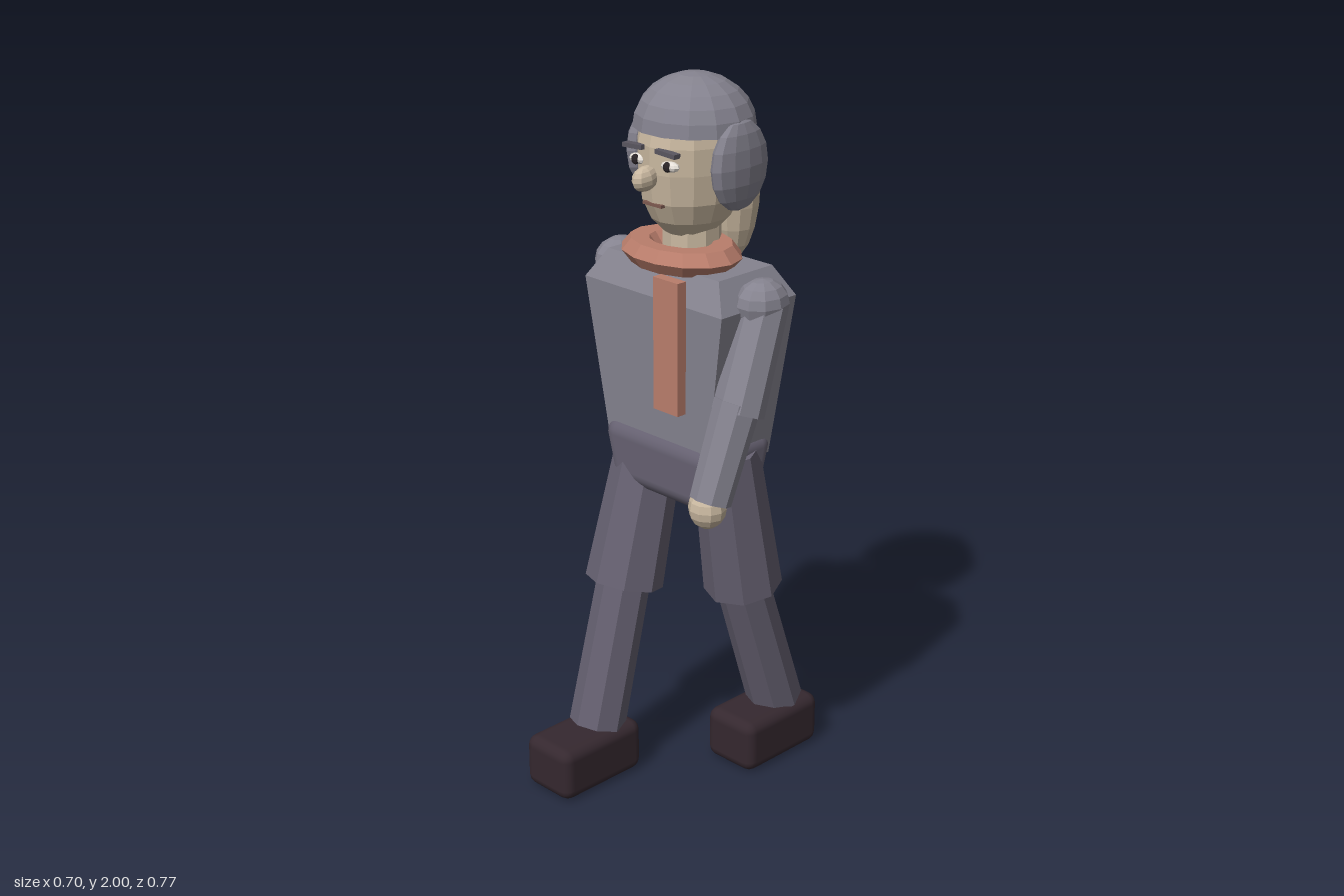
import * as THREE from 'three';
import { RoundedBoxGeometry } from 'three/addons/geometries/RoundedBoxGeometry.js';

export function createModel() {
  const model = new THREE.Group();
  model.name = 'walkingFigure';

  const mat = (name, color) => Object.assign(new THREE.MeshStandardMaterial({ color }), { name });
  const coat = mat('greyCoat', 0x85838f);
  const trousers = mat('darkTrousers', 0x656070);
  const leather = mat('shoeLeather', 0x35282f);
  const skin = mat('skin', 0xc9b8a0);
  const wool = mat('scarfWool', 0xb97d6b);
  const hairGrey = mat('greyHair', 0x84828e);
  const white = mat('eyeWhite', 0xe6e0d8);
  const dark = mat('pupilDark', 0x2a2427);
  const browGrey = mat('browGrey', 0x5a5660);
  const lip = mat('mouthBrown', 0x7d5a50);
  hairGrey.side = THREE.DoubleSide;

  // Splits the faces so that every facet is flat
  const facet = (geo) => {
    const g = geo.index ? geo.toNonIndexed() : geo;
    g.computeVertexNormals();
    return g;
  };
  const add = (name, geo, material, x = 0, y = 0, z = 0, parent = model) => {
    const mesh = new THREE.Mesh(geo, material);
    mesh.name = name;
    mesh.position.set(x, y, z);
    parent.add(mesh);
    return mesh;
  };
  const ball = (rx, ry, rz, w = 12, h = 8) => facet(new THREE.SphereGeometry(1, w, h).scale(rx, ry, rz));

  // Eight-sided limb between two points
  const up = new THREE.Vector3(0, 1, 0);
  const limb = (name, a, b, ra, rb, material) => {
    const from = new THREE.Vector3(...a), to = new THREE.Vector3(...b);
    const dir = from.clone().sub(to);
    const mesh = add(name, facet(new THREE.CylinderGeometry(ra, rb, dir.length(), 8)), material);
    mesh.position.copy(from).add(to).multiplyScalar(0.5);
    mesh.quaternion.setFromUnitVectors(up, dir.normalize());
    return mesh;
  };

  // Four-cornered solid through rings of [y, half width, back z, front z]
  const loft = (rings) => {
    const pos = [], idx = [];
    rings.forEach(([y, w, zb, zf]) => pos.push(-w, y, zf, w, y, zf, w, y, zb, -w, y, zb));
    for (let r = 0; r < rings.length - 1; r++) {
      for (let i = 0; i < 4; i++) {
        const a = r * 4 + i, b = r * 4 + (i + 1) % 4;
        idx.push(a, b, b + 4, a, b + 4, a + 4);
      }
    }
    const t = (rings.length - 1) * 4;
    idx.push(0, 2, 1, 0, 3, 2, t, t + 1, t + 2, t, t + 2, t + 3);
    const g = new THREE.BufferGeometry();
    g.setAttribute('position', new THREE.Float32BufferAttribute(pos, 3));
    g.setIndex(idx);
    return facet(g);
  };

  // Body
  add('torso', loft([
    [0.97, 0.185, -0.175, 0.065],
    [1.43, 0.255, -0.195, 0.085],
    [1.51, 0.205, -0.155, 0.045],
  ]), coat);
  const hipGeo = new RoundedBoxGeometry(0.4, 0.19, 0.27, 3, 0.045);
  const hp = hipGeo.attributes.position;
  for (let i = 0; i < hp.count; i++) {
    const k = hp.getY(i) < 0 ? 0.92 : 1;
    hp.setX(i, hp.getX(i) * k);
    hp.setZ(i, hp.getZ(i) * k);
  }
  add('hips', hipGeo, trousers, 0, 0.945, -0.05);

  // Legs: left one trails, right one leads
  const legs = [
    { n: 'left', x: 0.125, hip: -0.07, knee: -0.145, ankle: -0.285, foot: -0.237 },
    { n: 'right', x: -0.125, hip: -0.04, knee: 0.075, ankle: 0.185, foot: 0.237 },
  ];
  for (const { n, x, hip, knee, ankle, foot } of legs) {
    limb(n + 'Thigh', [x, 0.99, hip], [x, 0.56, knee], 0.092, 0.11, trousers);
    limb(n + 'Shin', [x, 0.6, knee * 0.9], [x, 0.15, ankle], 0.075, 0.08, trousers);
    add(n + 'Shoe', new RoundedBoxGeometry(0.176, 0.155, 0.296, 2, 0.032), leather, x, 0.0775, foot);
  }

  // Arms: left one swings forward, right one back
  const arms = [
    { n: 'left', s: 1, elbow: 0.045, wrist: 0.135, hand: 0.145 },
    { n: 'right', s: -1, elbow: -0.145, wrist: -0.175, hand: -0.18 },
  ];
  for (const { n, s, elbow, wrist, hand } of arms) {
    const back = s < 0 ? -0.02 : 0;
    add(n + 'Shoulder', ball(0.066, 0.066, 0.078, 10, 8), coat, s * 0.265, 1.443, -0.055);
    limb(n + 'UpperArm', [s * 0.268, 1.44, -0.06], [s * 0.278, 1.17 + back, elbow], 0.064, 0.07, coat);
    limb(n + 'Forearm', [s * 0.278, 1.2 + back, elbow], [s * 0.268, 0.945 + back, wrist], 0.062, 0.056, coat);
    add(n + 'Hand', ball(0.052, 0.056, 0.05, 10, 8), skin, s * 0.267, 0.93 + back, hand);
  }

  // Scarf: collar ring and hanging end
  const collar = new THREE.TorusGeometry(0.125, 0.057, 6, 14).rotateX(Math.PI / 2).scale(1, 0.65, 0.76);
  add('scarfCollar', facet(collar), wool, 0, 1.533, -0.025);
  add('scarfEnd', new THREE.BoxGeometry(0.09, 0.365, 0.03), wool, 0.085, 1.32, 0.103);

  // Head
  add('neck', facet(new THREE.CylinderGeometry(0.078, 0.08, 0.16, 10)), skin, 0, 1.56, -0.065);
  const profile = [[0, 1.58], [0.065, 1.585], [0.1, 1.625], [0.123, 1.68], [0.132, 1.76], [0.132, 1.83], [0.118, 1.9], [0, 1.94]];
  const skull = new THREE.LatheGeometry(profile.map(([r, y]) => new THREE.Vector2(r, y)), 14).scale(1, 1, 1.13);
  add('head', facet(skull), skin, 0, 0, -0.06);
  const nose = add('nose', ball(0.026, 0.033, 0.044, 8, 8), skin, 0, 1.752, 0.105);
  nose.rotation.x = 0.15;

  // Face
  for (const s of [-1, 1]) {
    const side = s > 0 ? 'left' : 'right';
    add(side + 'Eye', ball(0.031, 0.014, 0.016, 10, 6), white, s * 0.058, 1.788, 0.073);
    add(side + 'Pupil', ball(0.013, 0.014, 0.009, 8, 6), dark, s * 0.058, 1.788, 0.084);
    const brow = add(side + 'Brow', new THREE.BoxGeometry(0.07, 0.012, 0.022), browGrey, s * 0.06, 1.824, 0.085);
    brow.rotation.z = -s * 0.05;
  }
  add('mouth', new THREE.BoxGeometry(0.068, 0.008, 0.018), lip, 0, 1.678, 0.073);

  // Hair: cap, back of the head and round side pieces
  const cap = new THREE.SphereGeometry(1, 14, 6, 0, Math.PI * 2, 0, Math.PI * 0.5).scale(0.165, 0.14, 0.16);
  add('hairCap', facet(cap), hairGrey, 0, 1.86, -0.073);
  add('hairBack', ball(0.145, 0.17, 0.115, 14, 8), hairGrey, 0, 1.815, -0.115);
  for (const s of [-1, 1]) {
    const puff = add(s > 0 ? 'leftSideHair' : 'rightSideHair', ball(0.036, 0.12, 0.107), hairGrey, s * 0.15, 1.78, -0.085);
    puff.rotation.y = s * 0.06;
  }

  // Long tail behind the head
  add('backTail', ball(0.075, 0.22, 0.075, 12, 10), skin, 0, 1.69, -0.22);

  return model;
}
